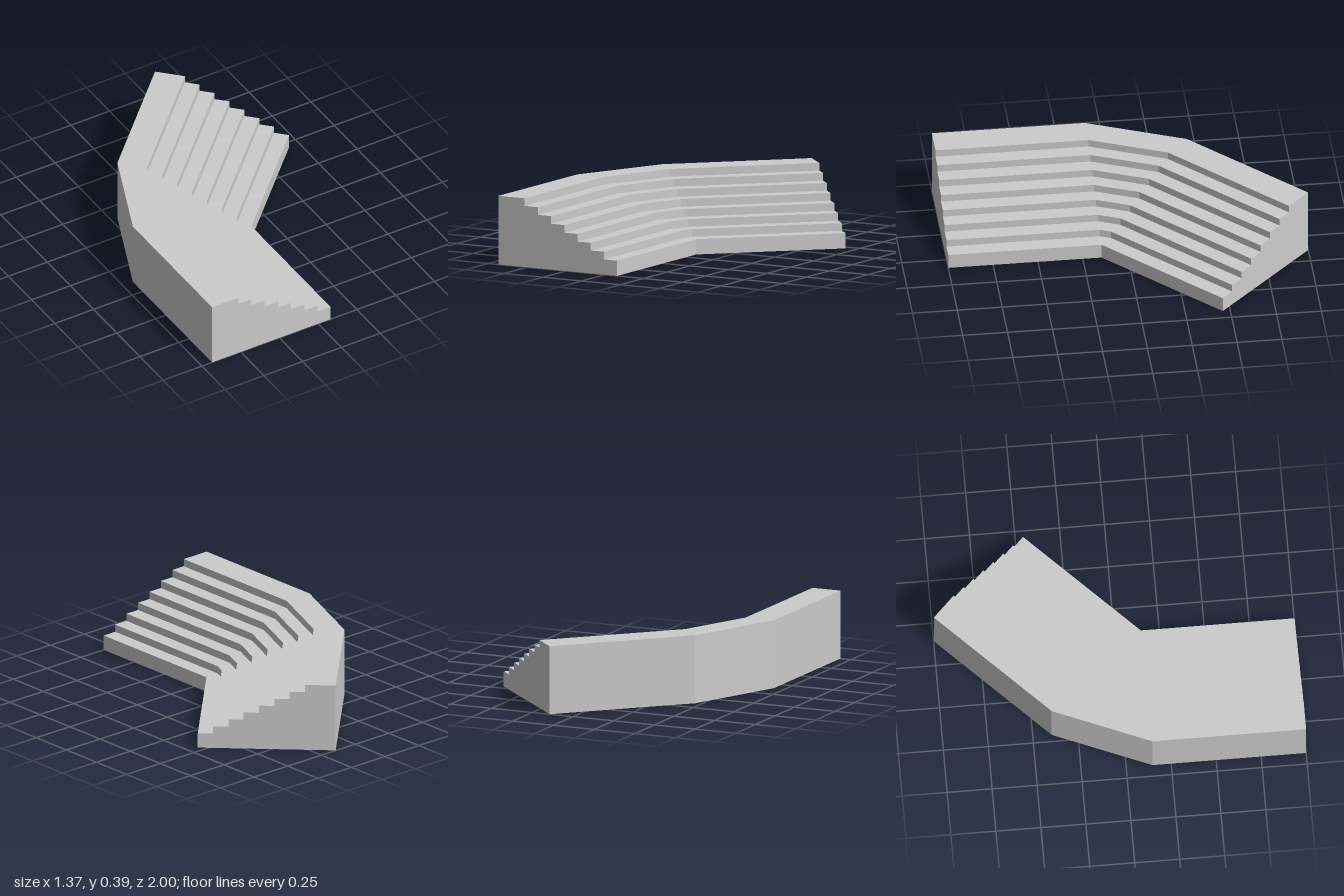
import * as THREE from 'three';

// Stepped seating that runs straight, turns 45 degrees about its lowest front corner, then runs straight again.
const TREAD = 0.085, RISE = 0.0428, ROWS = 8;
const RUN = 0.854, TURN = Math.PI / 4;
const PIVOT = new THREE.Vector3(0.08, 0, 0.146);

const material = new THREE.MeshStandardMaterial({
  color: 0xcccccc, flatShading: true, side: THREE.DoubleSide,
});

// Stations along the sweep: turn angle and distance travelled along the run at that angle
const stations = [[0, -RUN], [0, 0], [TURN, 0], [TURN, RUN]];

// Point at distance r outward from the pivot and height y
function sweepPoint(r, y, [angle, along]) {
  const c = Math.cos(angle), s = Math.sin(angle);
  return new THREE.Vector3(
    PIVOT.x - r * c + along * s, y, PIVOT.z - r * s - along * c);
}

// Sweeps one profile edge through all stations
function sweptStrip(name, from, to) {
  const points = [];
  for (let i = 0; i < stations.length - 1; i++) {
    const a = sweepPoint(...from, stations[i]), b = sweepPoint(...from, stations[i + 1]);
    const c = sweepPoint(...to, stations[i + 1]), d = sweepPoint(...to, stations[i]);
    if (a.distanceTo(b) > 1e-6) points.push(a, b, c);
    if (c.distanceTo(d) > 1e-6) points.push(a, c, d);
  }
  const geometry = new THREE.BufferGeometry().setFromPoints(points);
  geometry.computeVertexNormals();
  const mesh = new THREE.Mesh(geometry, material);
  mesh.name = name;
  return mesh;
}

// Flat stepped end wall; sign sets which way the profile climbs
function endWall(name, profile, sign, station, rotation) {
  const shape = new THREE.Shape(profile.map(([r, y]) => new THREE.Vector2(sign * r, y)));
  const mesh = new THREE.Mesh(new THREE.ShapeGeometry(shape), material);
  mesh.name = name;
  mesh.position.copy(sweepPoint(0, 0, station));
  mesh.rotation.y = rotation;
  return mesh;
}

export function createModel() {
  const group = new THREE.Group();
  group.name = 'steppedSeating';

  // Profile from the lowest riser up to the top of the back wall
  const profile = [[0, 0]];
  for (let i = 0; i < ROWS; i++) {
    const y = (i + 2) * RISE;
    const next = i === ROWS - 1 ? i + 2 : i + 1; // the top tread is twice as deep
    profile.push([i * TREAD, y], [next * TREAD, y]);
  }
  profile.push([(ROWS + 1) * TREAD, 0]);

  // Risers, treads and back wall; the underside stays open
  for (let k = 0; k < profile.length - 1; k++) {
    const row = Math.floor(k / 2) + 1;
    const name = k === profile.length - 2 ? 'backWall' : (k % 2 ? 'tread' : 'riser') + row;
    group.add(sweptStrip(name, profile[k], profile[k + 1]));
  }

  // End walls
  group.add(endWall('frontEndWall', profile, -1, stations[0], 0));
  group.add(endWall('rearEndWall', profile, 1, stations[3], Math.PI - TURN));
  return group;
}
